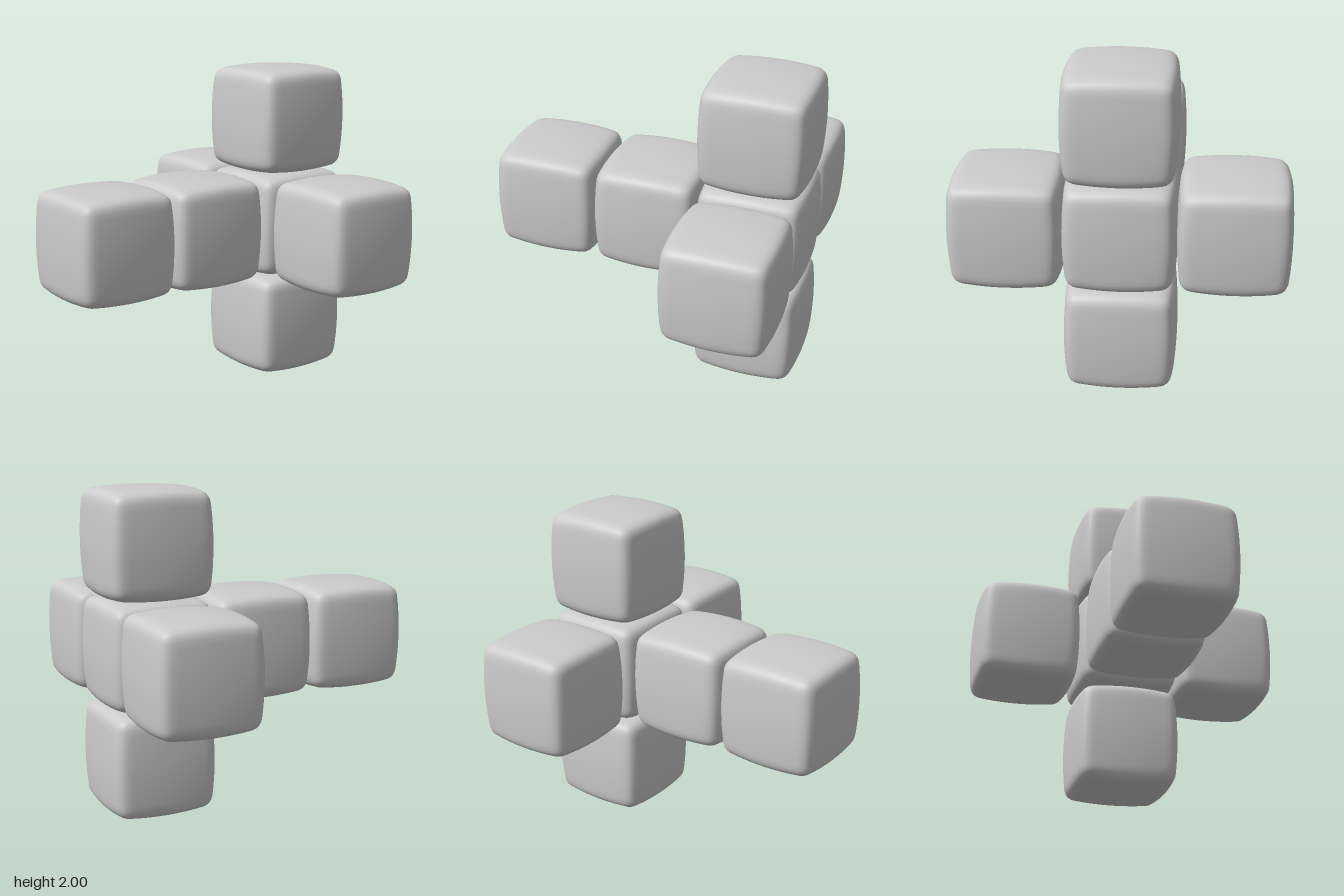
import * as THREE from 'three';
import { mergeVertices } from 'three/addons/utils/BufferGeometryUtils.js';

const HALF = 0.337;    // half width of a cube at its middle
const RADIUS = 0.065;  // edge rounding
const BULGE = 0.055;   // how much the faces swell outward
const STEP = 0.663;    // distance between neighbouring cubes

// Cube with rounded edges and slightly pillowed faces
function pillowCube() {
  const box = new THREE.BoxGeometry(2, 2, 2, 20, 20, 20);
  box.deleteAttribute('uv');
  box.deleteAttribute('normal');
  const geo = mergeVertices(box);
  const pos = geo.attributes.position;
  const p = new THREE.Vector3(), inner = new THREE.Vector3();
  const core = HALF - RADIUS;
  // pack the grid lines more densely toward the edges
  const warp = t => HALF * Math.sin(t * Math.PI / 2);
  for (let i = 0; i < pos.count; i++) {
    p.fromBufferAttribute(pos, i);
    p.set(warp(p.x), warp(p.y), warp(p.z));
    inner.copy(p).clampScalar(-core, core);
    p.sub(inner).setLength(RADIUS).add(inner);
    const [a, b, c] = p.toArray().map(v => (v / HALF) ** 2);
    pos.setXYZ(i,
      p.x * (1 - BULGE * (b + c)),
      p.y * (1 - BULGE * (a + c)),
      p.z * (1 - BULGE * (a + b)));
  }
  geo.computeVertexNormals();
  return geo;
}

export function createModel() {
  const group = new THREE.Group();
  group.name = 'cubeCross';
  const geometry = pillowCube();
  const material = new THREE.MeshStandardMaterial({ color: 0xcccccc });

  // Grid cells: a flat cross at the back with a two-cube arm to the front
  const cells = {
    centerCube: [0, 0, -1],
    leftCube: [1, 0, -1],
    rightCube: [-1, 0, -1],
    topCube: [0, 1, -1],
    bottomCube: [0, -1, -1],
    armInnerCube: [0, 0, 0],
    armOuterCube: [0, 0, 1],
  };
  for (const [name, [x, y, z]] of Object.entries(cells)) {
    const cube = new THREE.Mesh(geometry, material);
    cube.name = name;
    cube.position.set(x * STEP, 1 + y * STEP, z * STEP);
    group.add(cube);
  }
  return group;
}
